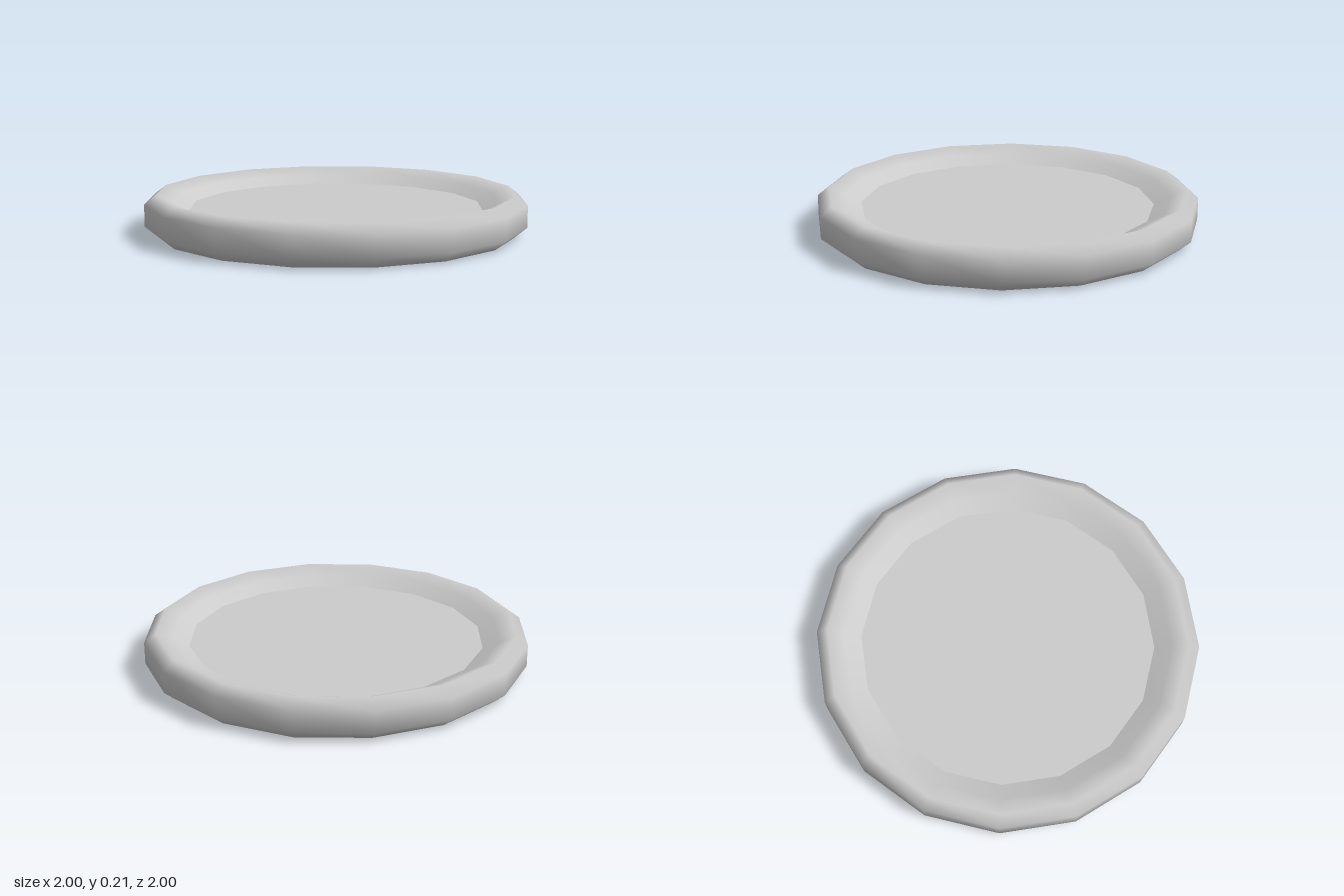
import * as THREE from 'three';

const SIDES = 16;

export function createModel() {
  const model = new THREE.Group();
  const material = new THREE.MeshStandardMaterial({ color: 0xcccccc });

  // Underside, bevelled outer wall and inward slope of the rim, from the bottom centre up
  const profile = [
    [0, 0], [0.84, 0], [0.94, 0], [1, 0.05], [1, 0.165], [0.94, 0.21], [0.855, 0.172], [0.77, 0.13],
  ].map(([r, y]) => new THREE.Vector2(r, y));
  const rim = new THREE.Mesh(new THREE.LatheGeometry(profile, SIDES), material);
  rim.name = 'rimAndBase';
  model.add(rim);

  // Flat recessed floor with a sharp border
  const floor = new THREE.Mesh(new THREE.CircleGeometry(0.77, SIDES).rotateX(-Math.PI / 2), material);
  floor.name = 'recessedFloor';
  floor.position.y = 0.13;
  model.add(floor);

  return model;
}
